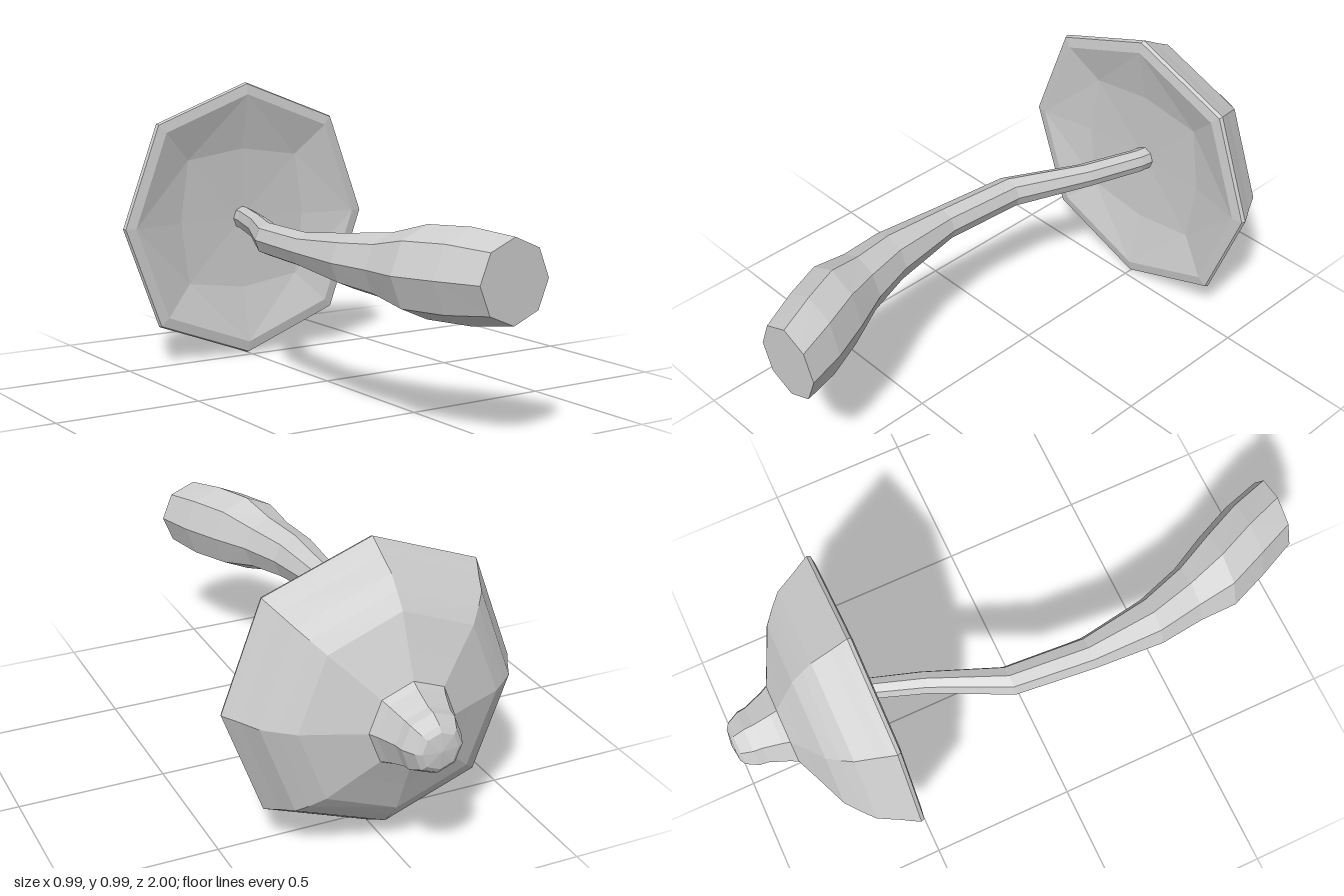
import * as THREE from 'three';

const SIDES = 8;
const AXIS_Y = 0.5;

// Octagonal loft along z. Each ring: [z, centreX, radiusX, radiusY, diagonalFactor]
function loft(rings) {
  const pos = [], index = [];
  for (const [z, cx, rx, ry, diag = 1] of rings) {
    for (let i = 0; i < SIDES; i++) {
      const a = (i / SIDES) * Math.PI * 2;
      const k = i % 2 ? diag : 1;
      pos.push(cx + rx * k * Math.cos(a), AXIS_Y + ry * k * Math.sin(a), z);
    }
  }
  for (let r = 0; r < rings.length - 1; r++) {
    for (let i = 0; i < SIDES; i++) {
      const j = (i + 1) % SIDES;
      const a = r * SIDES + i, a2 = r * SIDES + j;
      const b = a + SIDES, b2 = a2 + SIDES;
      if (rings[r][2] === 0) index.push(a, b, b2);
      else if (rings[r + 1][2] === 0) index.push(a, b, a2);
      // mirrored diagonals keep the facets symmetric
      else if (i % 2) index.push(a, b, b2, a, b2, a2);
      else index.push(a, b, a2, a2, b, b2);
    }
  }
  const g = new THREE.BufferGeometry();
  g.setAttribute('position', new THREE.Float32BufferAttribute(pos, 3));
  g.setIndex(index);
  const flat = g.toNonIndexed();
  flat.computeVertexNormals();
  return flat;
}

const round = (z, r, diag = 1.02) => [z, 0, r, r, diag];

export function createModel() {
  const model = new THREE.Group();
  const grey = new THREE.MeshStandardMaterial({ color: 0xcccccc, flatShading: true });
  grey.name = 'plain grey';

  const add = (name, rings) => {
    const mesh = new THREE.Mesh(loft(rings), grey);
    mesh.name = name;
    model.add(mesh);
  };

  // Cap: shallow hollow underside, sloping lip, then the domed outside
  add('cap', [
    round(-0.572, 0),
    round(-0.562, 0.255, 1.24),
    round(-0.52, 0.453, 1.03),
    round(-0.526, 0.491, 1.03),
    round(-0.538, 0.496, 1.03),
    round(-0.565, 0.481, 1.03),
    round(-0.6, 0.46, 1.03),
    round(-0.665, 0.425, 1.03),
    round(-0.7, 0.385, 1.03),
    round(-0.74, 0.335),
    round(-0.785, 0.225),
    round(-0.82, 0.143),
  ]);

  // Knob on top of the cap
  add('capKnob', [
    round(-0.815, 0.146),
    round(-0.845, 0.13),
    round(-0.89, 0.112),
    round(-0.91, 0.104),
    round(-0.94, 0.1),
    round(-0.98, 0.078),
    round(-0.992, 0.06),
    round(-1, 0),
  ]);

  // Curved stem, thick at the foot and thin where it meets the cap
  add('stem', [
    [1, -0.015, 0, 0],
    [1, -0.015, 0.127, 0.13],
    [0.865, -0.067, 0.138, 0.147],
    [0.73, -0.125, 0.135, 0.143],
    [0.6, -0.16, 0.102, 0.105],
    [0.445, -0.195, 0.085, 0.087],
    [0.2, -0.207, 0.058, 0.058],
    [-0.08, -0.183, 0.053, 0.055],
    [-0.335, -0.07, 0.042, 0.044],
    [-0.53, -0.004, 0.039, 0.043],
    [-0.58, 0.005, 0.037, 0.042],
  ]);

  return model;
}
